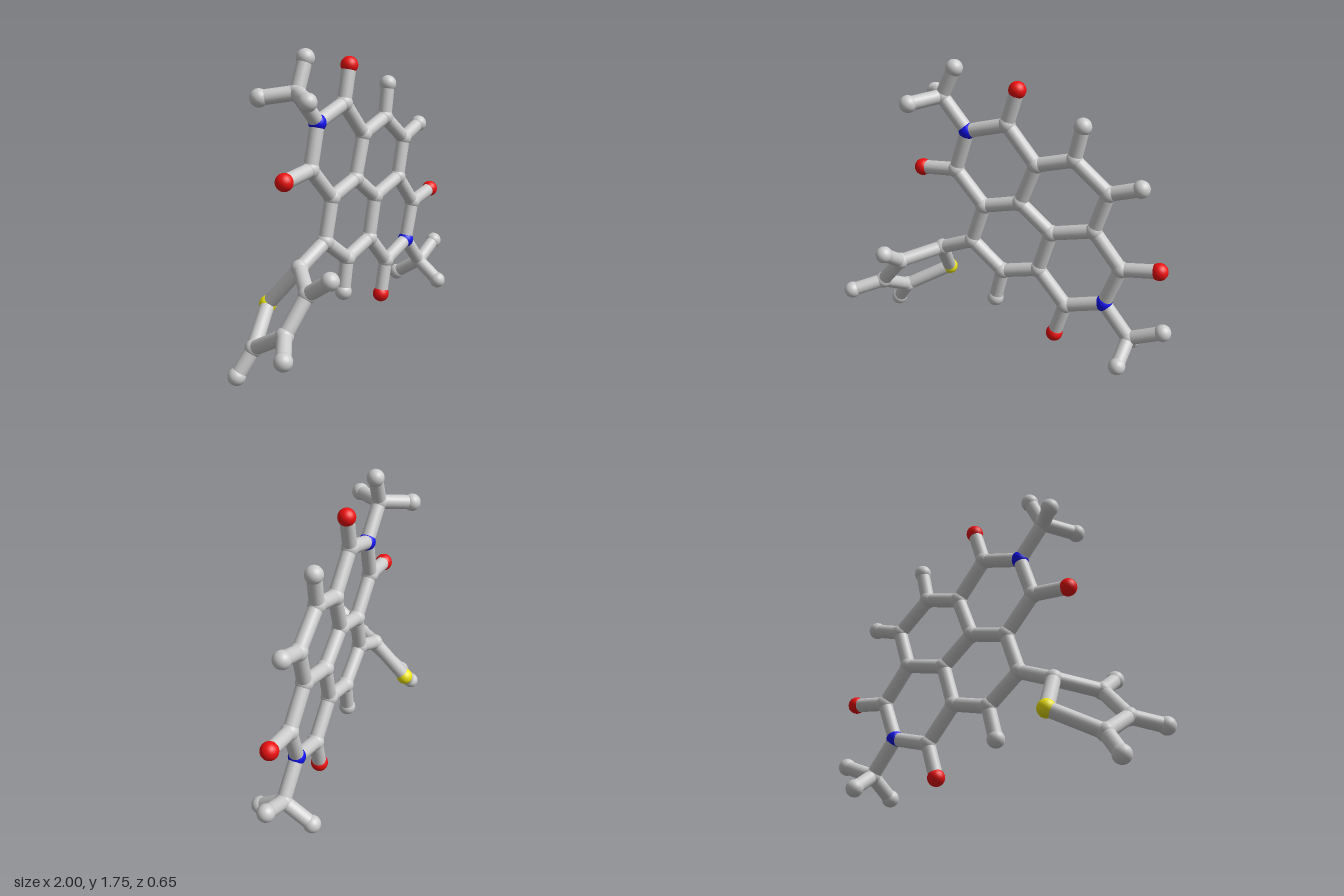
import * as THREE from 'three';

const ATOM_R = 0.05, BOND_R = 0.041;
const mats = {
  C: new THREE.MeshStandardMaterial({ color: 0xcccccc }),
  N: new THREE.MeshStandardMaterial({ color: 0x1010ee }),
  O: new THREE.MeshStandardMaterial({ color: 0xee1010 }),
  S: new THREE.MeshStandardMaterial({ color: 0xeee610 }),
};
mats.H = mats.C;
const names = { C: 'carbon', N: 'nitrogen', O: 'oxygen', S: 'sulfur', H: 'hydrogen' };

// The fused ring system lies in one slightly tilted plane
const planeZ = (y) => -0.055 - 0.028 * y;

// Atoms: element, x, y and, where off the plane, z
const atoms = {
  // upper imide ring with its methyl group
  n1: ['N', -0.275, 1.345], c2: ['C', -0.03, 1.415], o2: ['O', 0.03, 1.62],
  c10: ['C', -0.35, 1.1], o10: ['O', -0.57, 1.08],
  m1: ['C', -0.435, 1.53], m1a: ['H', -0.355, 1.7],
  m1b: ['H', -0.56, 1.515, 0.072], m1c: ['H', -0.56, 1.505, -0.25],
  // central pair of rings
  c3: ['C', 0.15, 1.205], c4: ['C', 0.375, 1.27], h4: ['H', 0.415, 1.465],
  c5: ['C', 0.58, 1.105], h5: ['H', 0.76, 1.165], c6: ['C', 0.51, 0.87],
  c7: ['C', 0.255, 0.805], c8: ['C', 0.06, 0.96], c9: ['C', -0.17, 0.9],
  c11: ['C', -0.245, 0.66], c12: ['C', -0.045, 0.5], h12: ['H', -0.09, 0.305],
  c13: ['C', 0.185, 0.56],
  // lower imide ring with its methyl group
  c14: ['C', 0.36, 0.36], o14: ['O', 0.3, 0.155], n2: ['N', 0.595, 0.43],
  c15: ['C', 0.68, 0.665], o15: ['O', 0.9, 0.7],
  m2: ['C', 0.755, 0.235], m2a: ['H', 0.95, 0.32],
  m2b: ['H', 0.74, 0.135, 0.095], m2c: ['H', 0.74, 0.122, -0.225],
  // five-sided side ring, twisted out of the plane
  ta: ['C', -0.46, 0.565, -0.085], s: ['S', -0.515, 0.325, -0.278],
  tb: ['C', -0.645, 0.525, 0.115], hb: ['H', -0.655, 0.64, 0.273],
  tc: ['C', -0.797, 0.34, 0.083], hc: ['H', -0.95, 0.297, 0.203],
  td: ['C', -0.77, 0.19, -0.16], hd: ['H', -0.865, 0.05, -0.203],
};

// Chains of bonded atoms
const chains = [
  'n1 c2 c3 c8 c9 c10 n1', 'c3 c4 c5 c6 c7 c8', 'c9 c11 c12 c13 c7',
  'c13 c14 n2 c15 c6', 'c2 o2', 'c10 o10', 'c14 o14', 'c15 o15',
  'c4 h4', 'c5 h5', 'c12 h12',
  'n1 m1 m1a', 'm1b m1 m1c', 'n2 m2 m2a', 'm2b m2 m2c',
  'c11 ta tb tc td s ta', 'tb hb', 'tc hc', 'td hd',
];

export function createModel() {
  const model = new THREE.Group();
  model.name = 'molecule';
  const atomGroup = new THREE.Group();
  atomGroup.name = 'atoms';
  const bondGroup = new THREE.Group();
  bondGroup.name = 'bonds';
  model.add(atomGroup, bondGroup);

  // Atom balls
  const ball = new THREE.SphereGeometry(ATOM_R, 24, 16);
  const pos = {};
  for (const [id, [el, x, y, z = planeZ(y)]] of Object.entries(atoms)) {
    const mesh = new THREE.Mesh(ball, mats[el]);
    mesh.name = names[el] + 'Atom';
    mesh.position.set(x, y, z);
    pos[id] = mesh.position;
    atomGroup.add(mesh);
  }

  // Bond sticks between neighbouring atoms
  const up = new THREE.Vector3(0, 1, 0);
  const stick = new THREE.CylinderGeometry(BOND_R, BOND_R, 1, 20, 1, true);
  for (const chain of chains) {
    const ids = chain.split(' ');
    for (let i = 1; i < ids.length; i++) {
      const a = pos[ids[i - 1]], b = pos[ids[i]];
      const dir = b.clone().sub(a);
      const mesh = new THREE.Mesh(stick, mats.C);
      mesh.name = 'bond';
      mesh.scale.y = dir.length();
      mesh.position.copy(a).add(b).multiplyScalar(0.5);
      mesh.quaternion.setFromUnitVectors(up, dir.normalize());
      bondGroup.add(mesh);
    }
  }
  return model;
}
